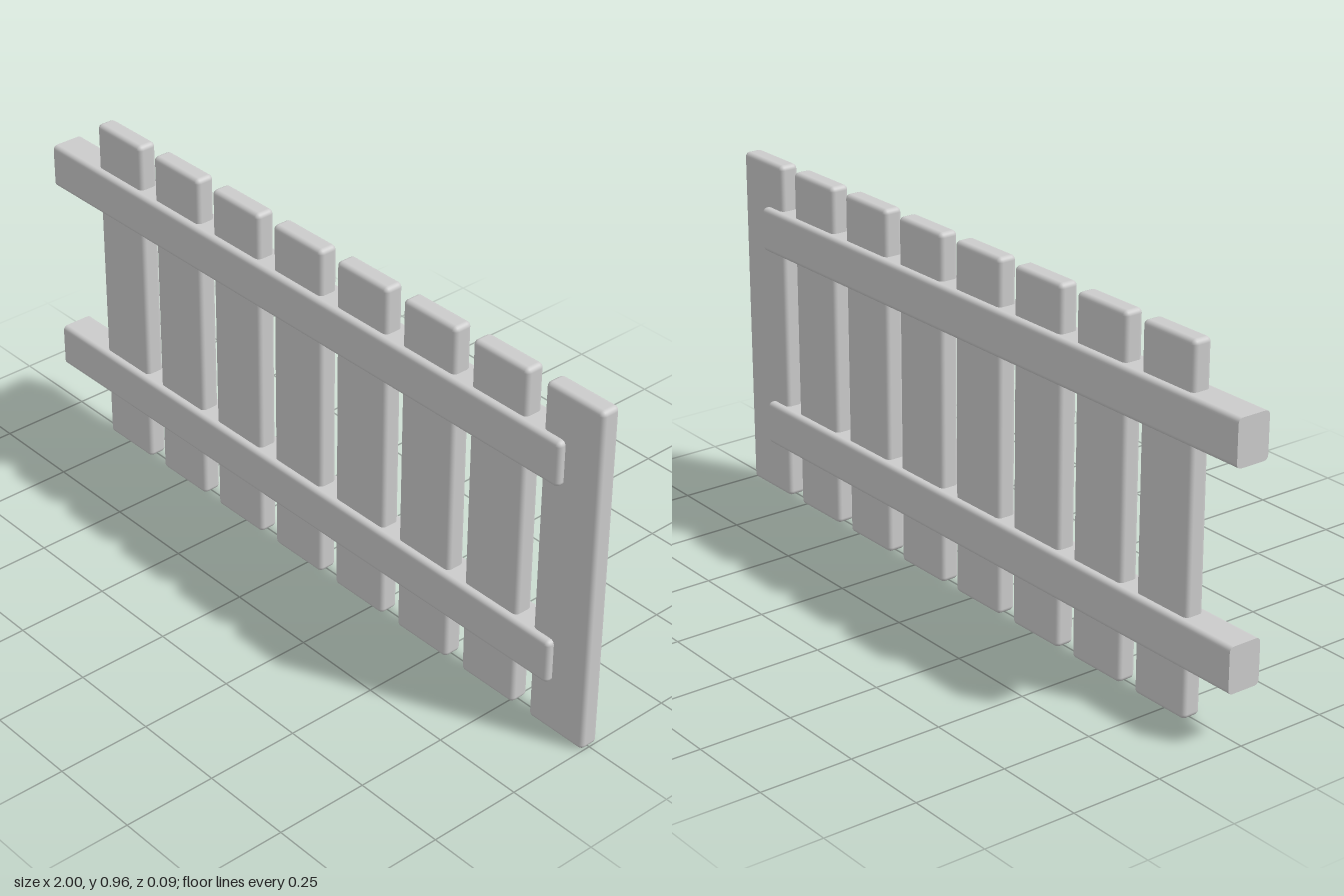
import * as THREE from 'three';
import { RoundedBoxGeometry } from 'three/addons/geometries/RoundedBoxGeometry.js';

const BEVEL = 0.013;

// Rail rounded at its +x end and sawn off flat at its -x end
function railGeometry(x0, x1, height, depth) {
  const geo = new RoundedBoxGeometry(x1 - x0 + BEVEL, height, depth, 3, BEVEL);
  geo.translate((x0 - BEVEL + x1) / 2, 0, 0);
  const pos = geo.attributes.position;
  const normal = geo.attributes.normal;
  for (let i = 0; i < pos.count; i += 3) {
    let onCap = true;
    for (let k = i; k < i + 3; k++) {
      if (pos.getX(k) < x0 + 1e-5) pos.setX(k, x0);
      else onCap = false;
    }
    if (onCap) for (let k = i; k < i + 3; k++) normal.setXYZ(k, -1, 0, 0);
  }
  return geo;
}

export function createModel() {
  const fence = new THREE.Group();
  fence.name = 'fenceSection';
  const material = new THREE.MeshStandardMaterial({ color: 0xcccccc });

  const add = (name, geometry, x, y) => {
    const mesh = new THREE.Mesh(geometry, material);
    mesh.name = name;
    mesh.position.set(x, y, 0);
    fence.add(mesh);
  };

  // Upright boards, evenly spaced
  const board = new RoundedBoxGeometry(0.18, 0.956, 0.054, 3, BEVEL);
  for (let i = 0; i < 8; i++) add(`board${i + 1}`, board, -0.738 + i * 0.2354, 0.478);

  // Horizontal rails running through the boards
  const rail = railGeometry(-1, 0.892, 0.122, 0.094);
  add('lowerRail', rail, 0, 0.207);
  add('upperRail', rail, 0, 0.769);

  return fence;
}
